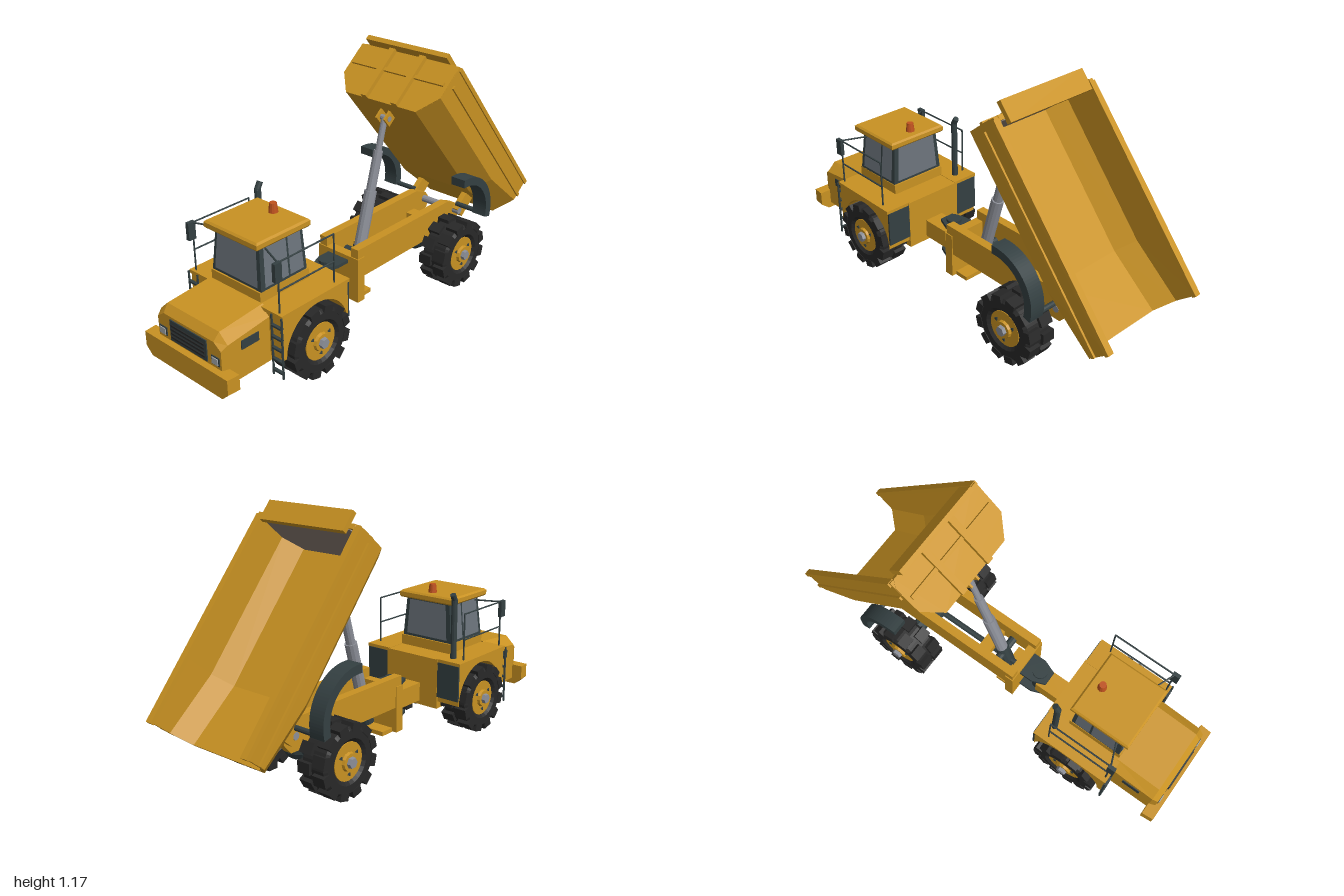
import * as THREE from 'three';

const mat = (name, color, extra = {}) => Object.assign(new THREE.MeshStandardMaterial({ color, ...extra }), { name });

export function createModel() {
  const M = {};
  for (const [n, c] of Object.entries({
    yellow: 0xc99222, tire: 0x282828, darkTrim: 0x344042, glass: 0x6c747c,
    steel: 0x8c8f98, beacon: 0xc0521e, lamp: 0xa4a9ad, wornSteel: 0x8c7f74,
  })) M[n] = mat(n, c, { flatShading: true });
  const root = new THREE.Group();
  const V = (x, y, z) => new THREE.Vector3(x, y, z);

  const add = (parent, name, geo, material, x = 0, y = 0, z = 0) => {
    const m = new THREE.Mesh(geo, material);
    m.name = name;
    m.position.set(x, y, z);
    parent.add(m);
    return m;
  };
  const group = (name, parent = root) => {
    const g = new THREE.Group();
    g.name = name;
    parent.add(g);
    return g;
  };
  // box given by its x, y and z ranges
  const box = (p, name, m, x0, x1, y0, y1, z0, z1) =>
    add(p, name, new THREE.BoxGeometry(x1 - x0, y1 - y0, z1 - z0), m, (x0 + x1) / 2, (y0 + y1) / 2, (z0 + z1) / 2);
  // cylinder between two points
  const rod = (p, name, m, a, b, r0, r1 = r0, n = 10) => {
    const d = b.clone().sub(a);
    const o = add(p, name, new THREE.CylinderGeometry(r1, r0, d.length(), n), m);
    o.position.copy(a).addScaledVector(d, 0.5);
    o.quaternion.setFromUnitVectors(V(0, 1, 0), d.normalize());
    return o;
  };
  // side outline (z, y) extruded from x0 to x1
  const side = (shape, x0, x1) =>
    new THREE.ExtrudeGeometry(shape, { depth: x1 - x0, bevelEnabled: false, curveSegments: 14 })
      .rotateY(-Math.PI / 2).translate(x1, 0, 0);
  const poly = pts => new THREE.Shape(pts.map(p => new THREE.Vector2(...p)));
  // closed solid through convex rings, turned outward by its signed volume
  const loft = rings => {
    const tris = [], n = rings[0].length, last = rings[rings.length - 1];
    for (let k = 0; k + 1 < rings.length; k++) for (let i = 0; i < n; i++) {
      const a = rings[k], b = rings[k + 1], j = (i + 1) % n;
      tris.push([a[i], a[j], b[j]], [a[i], b[j], b[i]]);
    }
    for (let i = 1; i + 1 < n; i++) tris.push([rings[0][0], rings[0][i + 1], rings[0][i]], [last[0], last[i], last[i + 1]]);
    const vol = tris.reduce((s, [a, b, c]) => s + a.dot(b.clone().cross(c)), 0);
    const pts = tris.flatMap(([a, b, c]) => (vol < 0 ? [a, c, b] : [a, b, c]));
    const g = new THREE.BufferGeometry().setFromPoints(pts);
    g.computeVertexNormals();
    return g;
  };

  // ---- front body ----
  const front = group('frontBody');
  box(front, 'bodyCore', M.yellow, -0.15, 0.15, 0.13, 0.375, 0.34, 0.74);
  const hoodRing = (z, w, low, wTop, top) =>
    [V(-w, 0.14, z), V(w, 0.14, z), V(w, low, z), V(wTop, top, z), V(-wTop, top, z), V(-w, low, z)];
  add(front, 'hood', loft([hoodRing(0.72, 0.2, 0.345, 0.155, 0.382), hoodRing(0.945, 0.2, 0.32, 0.155, 0.362),
    hoodRing(0.972, 0.19, 0.3, 0.15, 0.328)]), M.yellow);
  const bumper = (z, h) => [V(-0.215, 0.112, z), V(0.215, 0.112, z), V(h, 0.145, z), V(h, 0.213, z), V(-h, 0.213, z), V(-h, 0.145, z)];
  add(front, 'bumper', loft([bumper(0.943, 0.255), bumper(1.0, 0.25)]), M.yellow);
  box(front, 'grille', M.darkTrim, -0.11, 0.11, 0.222, 0.317, 0.97, 0.977);
  for (let i = 0; i < 4; i++) box(front, 'grilleSlat', M.tire, -0.1, 0.1, 0.237 + i * 0.018, 0.245 + i * 0.018, 0.976, 0.981);
  for (const s of [-1, 1]) {
    const x = s * 0.158;
    box(front, 'headlightFrame', M.darkTrim, x - 0.023, x + 0.023, 0.228, 0.266, 0.968, 0.976);
    box(front, 'headlight', M.lamp, x - 0.017, x + 0.017, 0.233, 0.261, 0.973, 0.98);
    box(front, 'hoodVent', M.darkTrim, s * 0.2 - 0.004, s * 0.2 + 0.004, 0.268, 0.308, 0.79, 0.88);
    // wheel arch, deck and mud flap
    const arch = poly([[0.35, 0.165], [0.35, 0.37], [0.73, 0.37], [0.73, 0.165], [0.708, 0.165]]);
    arch.absarc(0.53, 0.165, 0.178, 0, Math.PI, false);
    add(front, 'frontFender', side(arch, s > 0 ? 0.15 : -0.27, s > 0 ? 0.27 : -0.15), M.yellow);
    box(front, 'deck', M.yellow, Math.min(s * 0.14, s * 0.276), Math.max(s * 0.14, s * 0.276), 0.362, 0.377, 0.345, 0.735);
    box(front, 'mudFlap', M.darkTrim, s * 0.21 - 0.06, s * 0.21 + 0.06, 0.19, 0.362, 0.341, 0.35);
    // ladder
    for (const dx of [-0.028, 0.028]) rod(front, 'ladderRail', M.darkTrim, V(s * 0.25 + dx, 0.09, 0.738), V(s * 0.25 + dx, 0.37, 0.738), 0.005, 0.005, 6);
    for (let i = 0; i < 5; i++) box(front, 'ladderRung', M.darkTrim, s * 0.25 - 0.028, s * 0.25 + 0.028, 0.11 + i * 0.052, 0.118 + i * 0.052, 0.73, 0.744);
    // hand rails and mirror
    const rail = (a, b) => rod(front, 'handRail', M.darkTrim, V(...a), V(...b), 0.004, 0.004, 6);
    for (const z of [0.72, 0.41]) rail([s * 0.25, 0.37, z], [s * 0.25, 0.6, z]);
    for (const y of [0.475, 0.6]) rail([s * 0.25, y, 0.72], [s * 0.25, y, 0.41]);
    rail([s * 0.25, 0.6, 0.72], [s * 0.125, 0.6, 0.67]);
    box(front, 'mirror', M.darkTrim, s * 0.253 - 0.009, s * 0.253 + 0.009, 0.525, 0.605, 0.71, 0.746);
  }
  rod(front, 'exhaustPipe', M.darkTrim, V(-0.195, 0.37, 0.405), V(-0.195, 0.662, 0.405), 0.015);
  rod(front, 'exhaustTip', M.darkTrim, V(-0.195, 0.652, 0.409), V(-0.195, 0.688, 0.39), 0.014);

  // ---- cab ----
  const cab = group('cab');
  box(cab, 'cabBase', M.yellow, -0.145, 0.145, 0.37, 0.423, 0.45, 0.722);
  const lo = [V(-0.145, 0.42, 0.715), V(0.145, 0.42, 0.715), V(0.142, 0.42, 0.458), V(-0.142, 0.42, 0.458)];
  const hi = [V(-0.127, 0.618, 0.7), V(0.127, 0.618, 0.7), V(0.125, 0.618, 0.464), V(-0.125, 0.618, 0.464)];
  add(cab, 'cabFrame', loft([lo, hi]), M.darkTrim);
  const pane = (f, u0, u1) => {
    const a = lo[f], b = lo[(f + 1) % 4], c = hi[(f + 1) % 4], d = hi[f];
    const n = b.clone().sub(a).cross(d.clone().sub(a)).normalize();
    const at = (u, v) => a.clone().lerp(b, u).lerp(d.clone().lerp(c, u), v).addScaledVector(n, 0.003);
    const p = [at(u0, 0.08), at(u1, 0.08), at(u1, 0.95), at(u0, 0.95)];
    const g = new THREE.BufferGeometry().setFromPoints([p[0], p[1], p[2], p[0], p[2], p[3]]);
    g.computeVertexNormals();
    add(cab, 'window', g, M.glass);
  };
  [[0, 0.06, 0.94], [1, 0.08, 0.59], [1, 0.63, 0.93], [2, 0.08, 0.92], [3, 0.07, 0.37], [3, 0.41, 0.92]].forEach(w => pane(...w));
  const roof = (y, i) => [V(-0.155 + i, y, 0.737 - i), V(0.155 - i, y, 0.737 - i), V(0.155 - i, y, 0.443 + i), V(-0.155 + i, y, 0.443 + i)];
  add(cab, 'roof', loft([roof(0.615, 0.006), roof(0.622, 0), roof(0.642, 0), roof(0.65, 0.008)]), M.yellow);
  rod(cab, 'beacon', M.beacon, V(0, 0.65, 0.5), V(0, 0.692, 0.5), 0.021, 0.016, 12);

  // ---- articulated joint ----
  const joint = group('articulationJoint');
  box(joint, 'neck', M.yellow, -0.05, 0.05, 0.15, 0.24, 0.2, 0.36);
  rod(joint, 'pivotPin', M.darkTrim, V(0, 0.1, 0.19), V(0, 0.3, 0.19), 0.036, 0.036, 16);
  for (const y of [0.11, 0.27]) {
    const ring = h => [V(-0.06, h, 0.09), V(0.06, h, 0.09), V(0.06, h, 0.18), V(0.035, h, 0.245), V(-0.035, h, 0.245), V(-0.06, h, 0.18)];
    add(joint, 'hingePlate', loft([ring(y), ring(y + 0.016)]), M.darkTrim);
  }

  // ---- rear frame ----
  const frame = group('rearFrame');
  const railShape = poly([[0.11, 0.205], [0.11, 0.35], [-0.55, 0.35], [-0.625, 0.318], [-0.65, 0.285], [-0.645, 0.25], [-0.605, 0.205]]);
  for (const s of [-1, 1]) add(frame, 'frameRail', side(railShape, s * 0.094 - 0.021, s * 0.094 + 0.021), M.yellow);
  box(frame, 'frontPlate', M.yellow, -0.12, 0.12, 0.085, 0.305, 0.07, 0.115);
  box(frame, 'bottomPlate', M.yellow, -0.095, 0.095, 0.082, 0.102, 0, 0.11);
  for (const z of [-0.1, -0.5]) box(frame, 'crossMember', M.yellow, -0.08, 0.08, 0.21, 0.26, z - 0.03, z + 0.03);
  rod(frame, 'lowerRamPin', M.darkTrim, V(-0.08, 0.24, -0.02), V(0.08, 0.24, -0.02), 0.02);
  rod(frame, 'bedPivot', M.steel, V(-0.15, 0.29, -0.61), V(0.15, 0.29, -0.61), 0.017, 0.017, 12);
  rod(frame, 'rearAxle', M.darkTrim, V(-0.2, 0.165, -0.45), V(0.2, 0.165, -0.45), 0.036, 0.036, 12);
  add(frame, 'differential', new THREE.SphereGeometry(0.066, 12, 8), M.darkTrim, 0, 0.165, -0.45);
  rod(frame, 'driveShaft', M.darkTrim, V(0, 0.17, 0.1), V(0, 0.165, -0.4), 0.014);

  // ---- lifting ram ----
  const ram = group('liftingRam');
  const foot = V(0, 0.13, 0.005), head = V(0, 0.86, -0.2);
  const along = t => foot.clone().lerp(head, t);
  [[0, 0.2, 0.033, 'darkTrim'], [0.17, 0.55, 0.029, 'steel'], [0.55, 0.8, 0.022, 'steel'], [0.8, 1, 0.015, 'steel']]
    .forEach(([a, b, r, m]) => rod(ram, 'ramStage', M[m], along(a), along(b), r, r, 12));
  rod(ram, 'upperRamPin', M.steel, V(-0.03, 0.86, -0.2), V(0.03, 0.86, -0.2), 0.013);

  // ---- tipped bed: local -z runs to the tail, y up from the floor ----
  const bed = group('dumpBed');
  bed.position.set(0, 0.943, -0.165);
  bed.rotation.x = -50 * Math.PI / 180;
  const stations = [[0, 0], [0.69, 0], [0.98, 0.051]];
  const outer = f => [[-0.279, 0.265], [-0.277, f + 0.095], [-0.2, f], [0.2, f], [0.277, f + 0.095], [0.279, 0.265]];
  const inner = f => [[-0.259, 0.265], [-0.258, f + 0.102], [-0.193, f + 0.018], [0.193, f + 0.018], [0.258, f + 0.102], [0.259, 0.265]];
  const panels = ['rightWall', 'rightSlope', 'floor', 'leftSlope', 'leftWall'];
  panels.forEach((name, i) => add(bed, name, loft(stations.map(([u, f]) => {
    const o = outer(f), n = inner(f);
    return [o[i], o[i + 1], n[i + 1], n[i]].map(p => V(p[0], p[1], -u));
  })), M.yellow));
  const headboard = (z, k) => [[-0.2, 0], [0.2, 0], [0.277, 0.095], [0.277, 0.235], [0.255, 0.266], [-0.255, 0.266], [-0.277, 0.235], [-0.277, 0.095]]
    .map(p => V(p[0] * k, p[1], z));
  add(bed, 'frontWall', loft([headboard(0.003, 1), headboard(-0.02, 0.99)]), M.yellow);
  add(bed, 'frontWallLining', loft([headboard(-0.019, 0.92), headboard(-0.024, 0.92)]
    .map(r => r.map(p => V(p.x, 0.02 + p.y * 0.9, p.z)))), M.wornSteel);
  box(bed, 'topLip', M.yellow, -0.23, 0.23, 0.264, 0.288, -0.045, 0.05);
  box(bed, 'frontCrossRib', M.yellow, -0.26, 0.26, 0.15, 0.168, 0, 0.014);
  for (const s of [-1, 1]) {
    const x = s * 0.086, e = s * 0.271, r = s * 0.281;
    box(bed, 'frontRib', M.yellow, x - 0.016, x + 0.016, 0, 0.266, 0, 0.024);
    box(bed, 'topRim', M.yellow, e - 0.015, e + 0.015, 0.248, 0.268, -0.985, -0.01);
    box(bed, 'sideRib', M.yellow, r - 0.006, r + 0.006, 0.17, 0.186, -0.98, -0.03);
    box(bed, 'ramEar', M.yellow, s * 0.023 - 0.005, s * 0.023 + 0.005, -0.05, 0.005, -0.115, -0.06);
    box(bed, 'hingeEar', M.yellow, s * 0.135 - 0.014, s * 0.135 + 0.014, -0.085, 0.03, -0.83, -0.76);
  }

  // ---- rear fenders ----
  for (const s of [-1, 1]) {
    const f = new THREE.Shape();
    f.moveTo(-0.4, 0.536);
    f.lineTo(-0.4, 0.575);
    f.absarc(-0.42, 0.365, 0.21, Math.PI / 2, Math.PI * 1.08, false);
    f.absarc(-0.42, 0.365, 0.171, Math.PI * 1.08, Math.PI / 2, true);
    add(root, 'rearFender', side(f, s * 0.277 - 0.037, s * 0.277 + 0.037), M.darkTrim);
    rod(root, 'fenderBracket', M.darkTrim, V(s * 0.13, 0.325, -0.61), V(s * 0.26, 0.325, -0.61), 0.012);
  }

  // ---- wheels, outer side toward local +x ----
  const tireProfile = [[0.08, -0.05], [0.1, -0.068], [0.135, -0.068], [0.149, -0.056], [0.149, 0.056], [0.135, 0.068], [0.1, 0.068], [0.08, 0.05]];
  const tireGeo = new THREE.LatheGeometry(tireProfile.map(p => new THREE.Vector2(...p)), 24).rotateZ(-Math.PI / 2);
  const lugGeo = new THREE.BoxGeometry(0.064, 0.034, 0.05);
  for (const z of [0.53, -0.45]) for (const s of [-1, 1]) {
    const w = group(z > 0 ? 'frontWheel' : 'rearWheel');
    w.position.set(s * 0.225, 0.165, z);
    if (s < 0) w.rotation.y = Math.PI;
    add(w, 'tire', tireGeo, M.tire);
    for (let i = 0; i < 24; i++) {
      const a = i / 24 * Math.PI * 2;
      const lug = add(w, 'treadLug', lugGeo, M.tire, i % 2 ? 0.039 : -0.039, Math.cos(a) * 0.146, Math.sin(a) * 0.146);
      lug.rotation.x = a;
    }
    rod(w, 'rim', M.yellow, V(-0.052, 0, 0), V(0.058, 0, 0), 0.084, 0.084, 20);
    rod(w, 'hubFlange', M.yellow, V(0.05, 0, 0), V(0.07, 0, 0), 0.045, 0.038, 12);
    rod(w, 'hubCap', M.steel, V(0.05, 0, 0), V(0.087, 0, 0), 0.027, 0.023, 6);
    for (let i = 0; i < 3; i++) {
      const a = Math.PI / 2 + i / 3 * Math.PI * 2 + Math.PI / 3;
      rod(w, 'wheelBolt', M.darkTrim, V(0.05, Math.sin(a) * 0.056, Math.cos(a) * 0.056), V(0.064, Math.sin(a) * 0.056, Math.cos(a) * 0.056), 0.009, 0.009, 3);
    }
  }
  return root;
}
